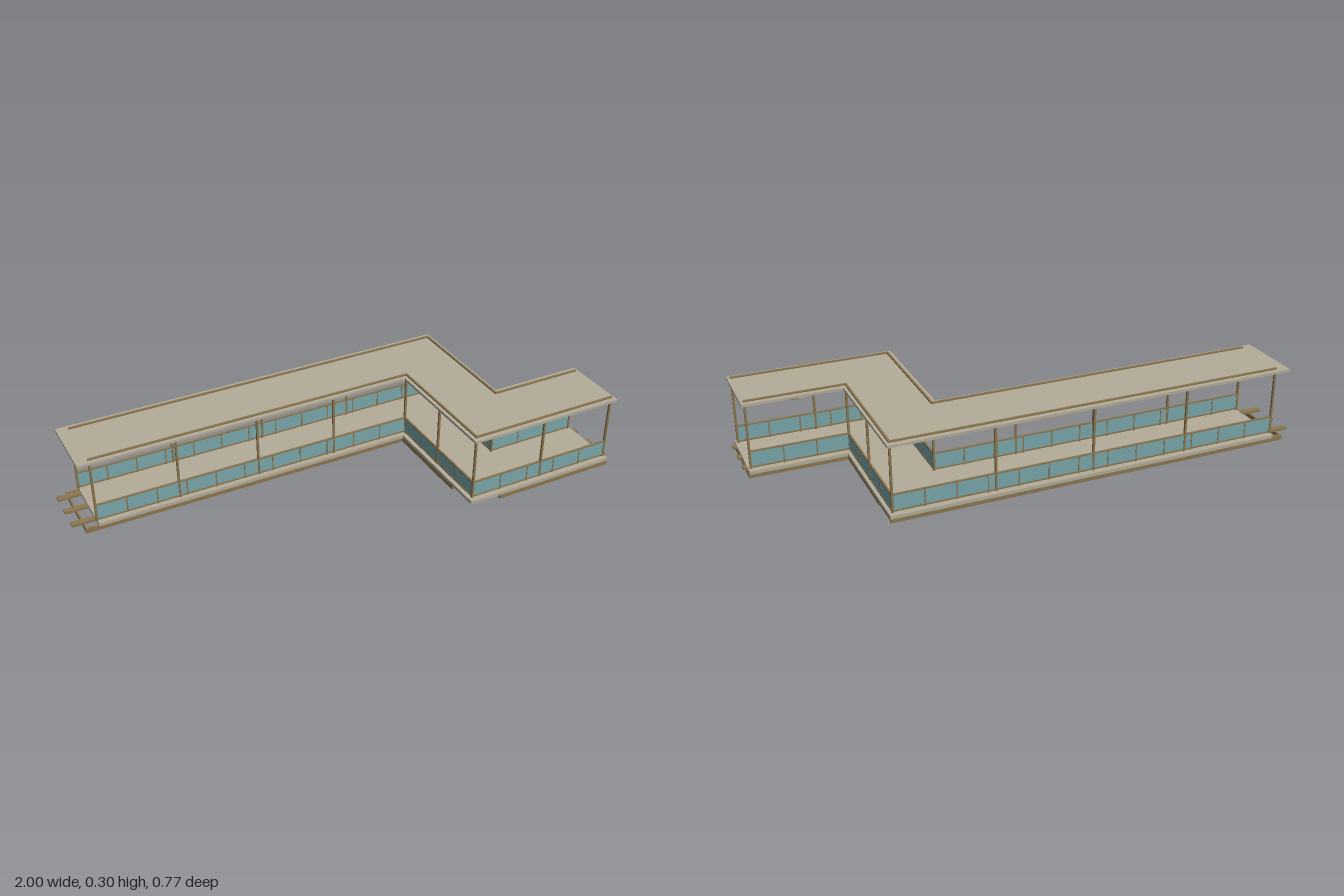
import * as THREE from 'three';

const concrete = new THREE.MeshStandardMaterial({ name: 'pale concrete', color: 0xb4ac9a });
const bronze = new THREE.MeshStandardMaterial({ name: 'bronze metal', color: 0x8c7750 });
const glass = new THREE.MeshStandardMaterial({ name: 'blue glass', color: 0x7aa8ac });

export function createModel() {
  const model = new THREE.Group();
  model.name = 'coveredWalkway';

  // Box given by its minimum and maximum corners
  function box(name, mat, x0, x1, y0, y1, z0, z1) {
    const m = new THREE.Mesh(new THREE.BoxGeometry(x1 - x0, y1 - y0, z1 - z0), mat);
    m.position.set((x0 + x1) / 2, (y0 + y1) / 2, (z0 + z1) / 2);
    m.name = name;
    model.add(m);
  }

  // Z-shaped slab
  function slab(name, left, right, y0, y1) {
    const outline = [[left, -0.39], [0.62, -0.39], [0.62, 0.115], [right, 0.115],
      [right, 0.385], [0.355, 0.385], [0.355, -0.12], [left, -0.12]];
    const shape = new THREE.Shape(outline.map(([x, z]) => new THREE.Vector2(x, -z)));
    const geo = new THREE.ExtrudeGeometry(shape, { depth: y1 - y0, bevelEnabled: false });
    geo.rotateX(-Math.PI / 2);
    const m = new THREE.Mesh(geo, concrete);
    m.position.y = y0;
    m.name = name;
    model.add(m);
  }
  slab('floor', -0.91, 0.985, 0.02, 0.033);
  slab('roof', -0.96, 0.99, 0.288, 0.298);

  // Axis-aligned bar between two plan points
  function bar(name, mat, a, b, y0, y1, w) {
    const h = w / 2;
    box(name, mat, Math.min(a[0], b[0]) - h, Math.max(a[0], b[0]) + h, y0, y1,
      Math.min(a[1], b[1]) - h, Math.max(a[1], b[1]) + h);
  }
  const between = (a, b, t) => [a[0] + (b[0] - a[0]) * t, a[1] + (b[1] - a[1]) * t];
  const post = (p) => bar('post', bronze, p, p, 0.033, 0.288, 0.008);

  // Side runs: plan corners, with the number of post bays on each leg
  const runs = [
    { pts: [[-0.91, -0.367], [0.605, -0.367], [0.605, 0.138], [0.975, 0.138]], bays: [4, 2, 1] },
    { pts: [[-0.91, -0.14], [0.373, -0.14], [0.373, 0.363], [0.975, 0.363]], bays: [4, 2, 2] },
  ];
  for (const { pts, bays } of runs) {
    post(pts[0]);
    for (let i = 0; i < 3; i++) {
      const a = pts[i], b = pts[i + 1];
      for (let k = 1; k <= bays[i]; k++) post(between(a, b, k / bays[i]));
      bar('glassPanel', glass, a, b, 0.04, 0.1, 0.003);
      bar('handrail', bronze, a, b, 0.099, 0.104, 0.007);
      bar('bottomRail', bronze, a, b, 0.036, 0.042, 0.006);
      bar('roofRail', bronze, a, b, 0.298, 0.304, 0.008);
      const n = Math.round(Math.hypot(b[0] - a[0], b[1] - a[1]) / 0.12);
      for (let k = 1; k < n; k++) {
        const p = between(a, b, k / n);
        bar('mullion', bronze, p, p, 0.033, 0.1, 0.005);
      }
    }
  }

  // Under-floor frames: edge beams and cross joists
  function frame(x0, x1, z0, z1, alongX, count, y1) {
    const c = [[x0, z0], [x1, z0], [x1, z1], [x0, z1]];
    const [s, t] = alongX ? [[c[0], c[1]], [c[3], c[2]]] : [[c[0], c[3]], [c[1], c[2]]];
    bar('edgeBeam', bronze, s[0], s[1], 0, y1, 0.009);
    bar('edgeBeam', bronze, t[0], t[1], 0, y1, 0.009);
    for (let k = 0; k <= count; k++) {
      bar('crossJoist', bronze, between(s[0], s[1], k / count), between(t[0], t[1], k / count), 0.005, y1 - 0.0005, 0.008);
    }
  }
  frame(-0.955, 0.612, -0.377, -0.13, true, 7, 0.02);
  frame(0.362, 0.612, -0.246, 0.246, false, 2, 0.018);
  frame(0.492, 0.983, 0.13, 0.377, true, 2, 0.02);

  // Projecting connector stubs at both ends
  for (const z of [0.165, 0.252, 0.341]) {
    box('endStub', bronze, 0.9, 1, 0.023, 0.032, z - 0.012, z + 0.012);
    box('endStub', bronze, -1, -0.9, 0.023, 0.032, -z - 0.012, -z + 0.012);
  }

  // Hanging lights
  for (const [x, z] of [[-0.6, -0.253], [0.035, -0.253], [0.488, 0], [0.79, 0.253]]) {
    box('lightStem', bronze, x - 0.005, x + 0.005, 0.266, 0.288, z - 0.005, z + 0.005);
    box('lightBar', bronze, x - 0.014, x + 0.014, 0.26, 0.267, z - 0.086, z + 0.086);
  }
  return model;
}
